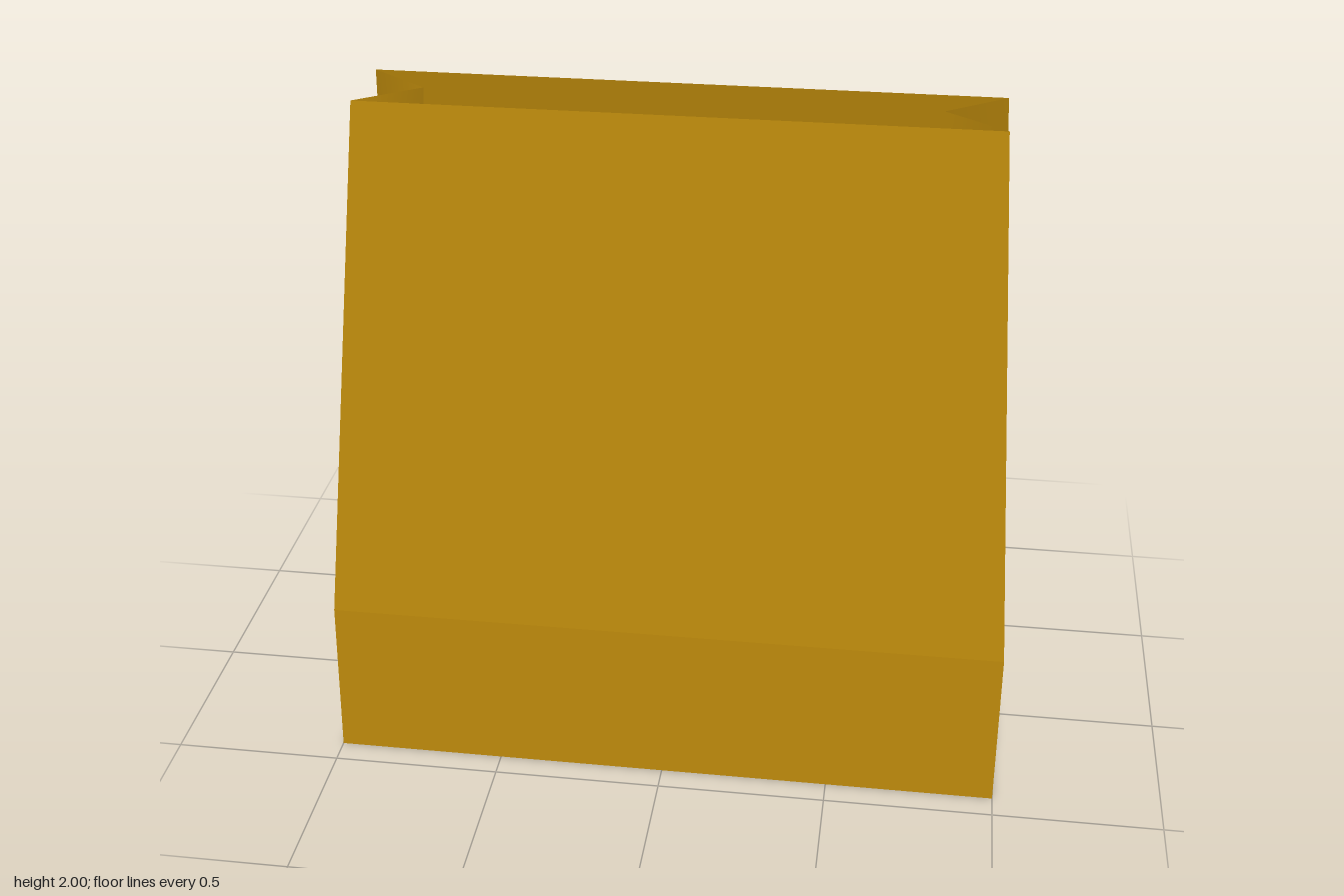
import * as THREE from 'three';

const paper = new THREE.MeshStandardMaterial({ color: 0xb8860b, side: THREE.DoubleSide });
paper.name = 'brown paper';

// Four-cornered sheet, folded along the line from its first to its third corner
function panel(name, corners) {
  const geometry = new THREE.BufferGeometry();
  geometry.setAttribute('position', new THREE.Float32BufferAttribute(corners.flat(), 3));
  geometry.setIndex([0, 1, 2, 0, 2, 3]);
  geometry.computeVertexNormals();
  const mesh = new THREE.Mesh(geometry, paper);
  mesh.name = name;
  return mesh;
}

// One wide wall and one folded side; the other half is the same turned around
function halfBag(name) {
  const half = new THREE.Group();
  half.name = name;
  const bottom = (x, s) => [x, 0, s * 0.424];
  const fold = (x, s) => [x, 0.475, s * 0.39];
  const rim = (x, s) => [x * 0.9, 2, s * 0.132];
  const bottomMiddle = [1, 0, 0];
  const foldMiddle = [0.805, 0.475, 0];
  const rimMiddle = [0.727, 2, 0];

  half.add(
    panel('lowerWall', [bottom(-1, 1), bottom(1, 1), fold(1, 1), fold(-1, 1)]),
    panel('upperWall', [fold(-1, 1), fold(1, 1), rim(1, 1), rim(-1, 1)]),
    panel('nearLowerGusset', [bottomMiddle, foldMiddle, fold(1, 1), bottom(1, 1)]),
    panel('farLowerGusset', [bottomMiddle, bottom(1, -1), fold(1, -1), foldMiddle]),
    panel('nearUpperGusset', [foldMiddle, rimMiddle, rim(1, 1), fold(1, 1)]),
    panel('farUpperGusset', [fold(1, -1), rim(1, -1), rimMiddle, foldMiddle])
  );
  return half;
}

export function createModel() {
  const bag = new THREE.Group();
  bag.name = 'paperBag';
  const front = halfBag('frontHalf');
  const back = halfBag('backHalf');
  back.rotation.y = Math.PI;
  // Flat base, facing down
  const base = panel('base', [[-1, 0, -0.424], [1, 0, -0.424], [1, 0, 0.424], [-1, 0, 0.424]]);
  bag.add(front, back, base);
  return bag;
}
